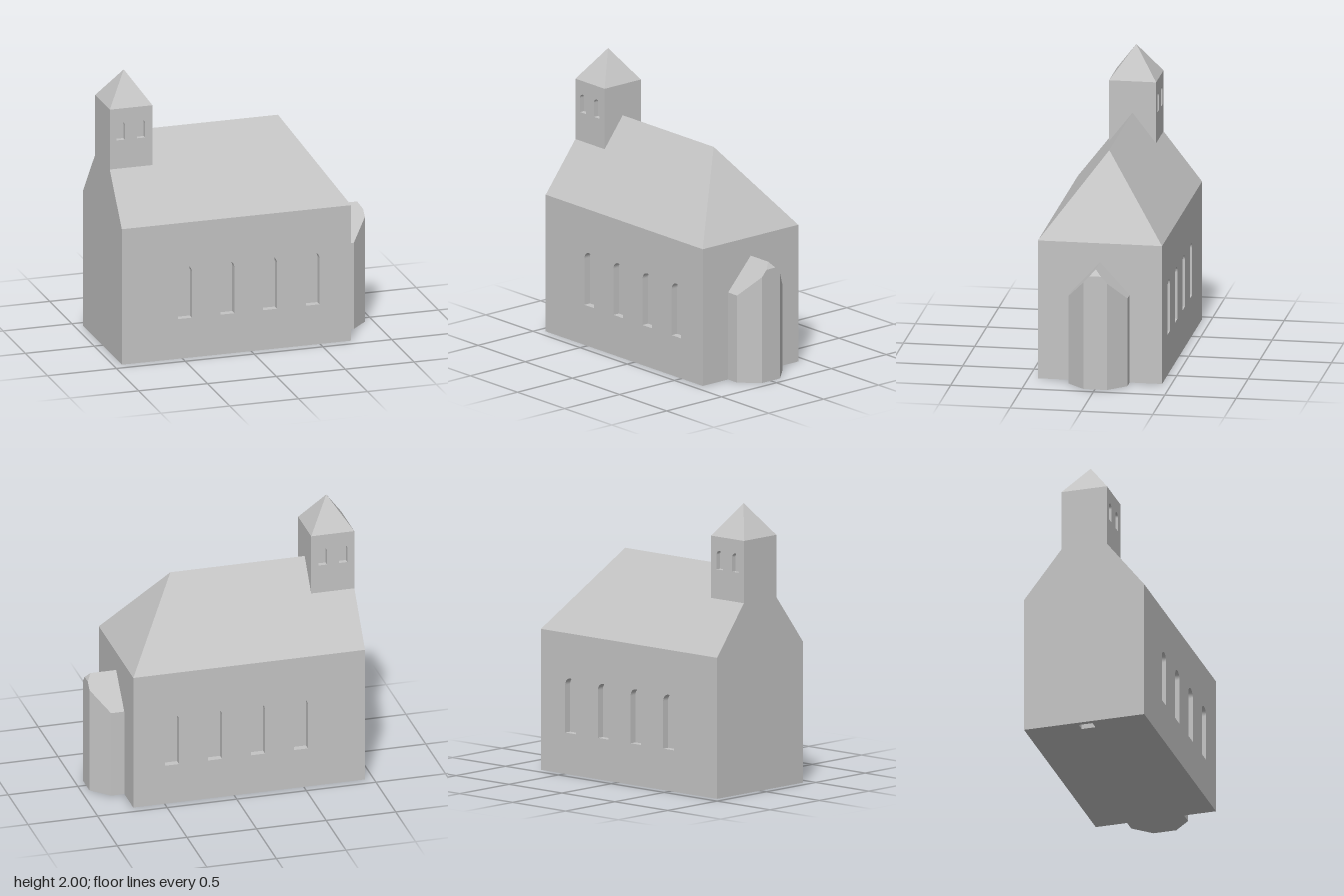
import * as THREE from 'three';
import { ConvexGeometry } from 'three/addons/geometries/ConvexGeometry.js';

const stone = new THREE.MeshStandardMaterial({ color: 0xc4c4c4 });
stone.name = 'grey stone';

// main dimensions
const LEFT = -0.94, RIGHT = 0.725, HALF = 0.435, EAVES = 0.99, RIDGE = 1.55;

function addMesh(parent, name, geometry) {
  const mesh = new THREE.Mesh(geometry, stone);
  mesh.name = name;
  parent.add(mesh);
  return mesh;
}

function hull(points) {
  return new ConvexGeometry(points.map(p => new THREE.Vector3(...p)));
}

function rectangle(x0, x1, y0, y1, Type = THREE.Shape) {
  return new Type([[x0, y0], [x1, y0], [x1, y1], [x0, y1]].map(p => new THREE.Vector2(...p)));
}

function block(x0, x1, y0, y1, halfZ) {
  return new THREE.BoxGeometry(x1 - x0, y1 - y0, 2 * halfZ)
    .translate((x0 + x1) / 2, (y0 + y1) / 2, 0);
}

// round-headed opening
function archedHole(cx, y0, y1, width) {
  const r = width / 2, hole = new THREE.Path();
  hole.moveTo(cx - r, y0);
  hole.lineTo(cx + r, y0);
  hole.lineTo(cx + r, y1 - r);
  hole.absarc(cx, y1 - r, r, 0, Math.PI, false);
  hole.lineTo(cx - r, y0);
  return hole;
}

// pierced outer wall layers on both long sides; the core behind closes the niches
function addWallPair(parent, name, wall, windows, halfZ, depth) {
  const shape = rectangle(...wall);
  for (const w of windows) shape.holes.push(archedHole(...w));
  const geometry = new THREE.ExtrudeGeometry(shape, { depth, bevelEnabled: false, curveSegments: 12 });
  addMesh(parent, name + 'Front', geometry).position.z = halfZ - depth;
  addMesh(parent, name + 'Back', geometry).position.z = -halfZ;
}

function createNave() {
  const nave = new THREE.Group();
  nave.name = 'nave';
  const depth = 0.05, inner = HALF - depth, socketTop = 0.2;

  // base with a small socket in the underside
  const plan = rectangle(LEFT, RIGHT, -inner, inner);
  plan.holes.push(rectangle(-0.905, -0.835, -0.05, 0.05, THREE.Path));
  const base = new THREE.ExtrudeGeometry(plan, { depth: socketTop, bevelEnabled: false });
  addMesh(nave, 'base', base.rotateX(-Math.PI / 2));
  addMesh(nave, 'core', block(LEFT, RIGHT, socketTop, EAVES, inner));

  const windows = [-0.48, -0.172, 0.137, 0.446].map(x => [x, 0.29, 0.675, 0.1]);
  addWallPair(nave, 'sideWall', [LEFT, RIGHT, 0, EAVES], windows, HALF, depth);

  // gable at the tower end, hip at the apse end
  addMesh(nave, 'roof', hull([
    [LEFT, EAVES, HALF], [LEFT, EAVES, -HALF], [RIGHT, EAVES, HALF], [RIGHT, EAVES, -HALF],
    [LEFT, RIDGE, 0], [0.335, RIDGE, 0],
  ]));
  return nave;
}

function createTower() {
  const tower = new THREE.Group();
  tower.name = 'tower';
  const x1 = -0.63, y0 = 1.338, y1 = 1.775, half = 0.165, depth = 0.035;
  addMesh(tower, 'towerCore', block(LEFT, x1, y0, y1, half - depth));
  const windows = [-0.86, -0.713].map(x => [x, 1.545, 1.677, 0.06]);
  addWallPair(tower, 'belfryWall', [LEFT, x1, y0, y1], windows, half, depth);
  addMesh(tower, 'spire', hull([
    [LEFT, y1, half], [LEFT, y1, -half], [x1, y1, half], [x1, y1, -half],
    [(LEFT + x1) / 2, 2, 0],
  ]));
  return tower;
}

function createApse() {
  const half = 0.206, top = 0.855;
  const roofY = z => top - (top - 0.63) * z / half;
  const points = [[RIGHT, top, 0], [0.91, top, 0]];
  for (const s of [1, -1]) {
    // side and chamfered corners, from the floor to the sloping roof
    for (const [x, z] of [[RIGHT, half], [0.82, half], [0.94, 0.082]]) {
      points.push([x, 0, s * z], [x, roofY(z), s * z]);
    }
    points.push([0.94, roofY(0.04), s * 0.04]); // small hip
  }
  return hull(points);
}

export function createModel() {
  const chapel = new THREE.Group();
  chapel.name = 'chapel';
  chapel.add(createNave(), createTower());
  addMesh(chapel, 'apse', createApse()).position.z = -0.002;
  return chapel;
}
